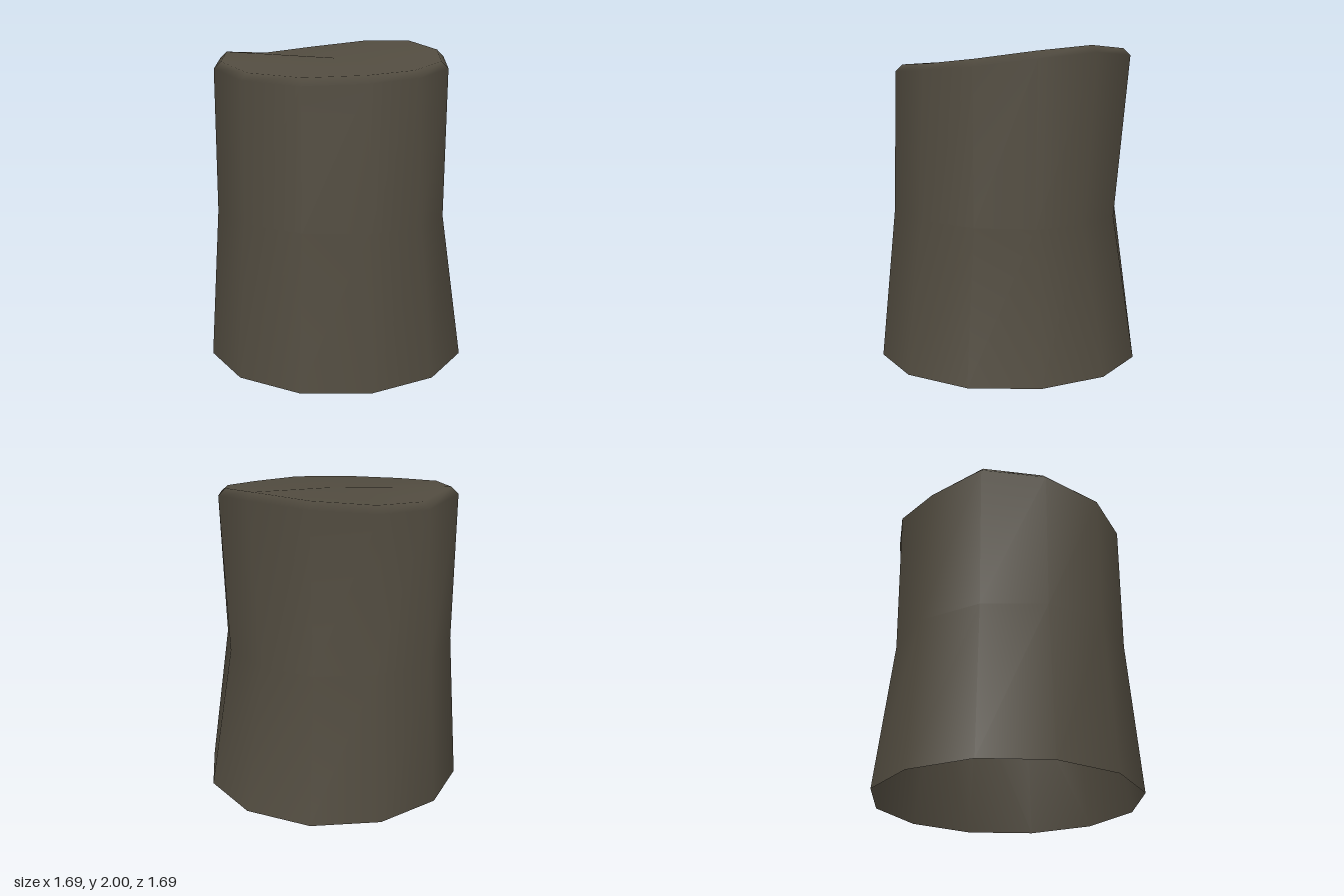
import * as THREE from 'three';

const SIDES = 12;

export function createModel() {
  const group = new THREE.Group();
  group.name = 'stump';
  const bark = new THREE.MeshStandardMaterial({ color: 0x524c40, side: THREE.DoubleSide });
  bark.name = 'dark bark';

  // Radii and heights run from +x towards the front, every 30 degrees
  const midR = [0.67, 0.69, 0.71, 0.73, 0.75, 0.77, 0.78, 0.78, 0.78, 0.78, 0.74, 0.70];
  const topR = [0.76, 0.73, 0.72, 0.70, 0.73, 0.77, 0.78, 0.78, 0.79, 0.73, 0.75, 0.79];
  const rimY = [2.0, 1.965, 1.92, 1.893, 1.885, 1.875, 1.885, 1.92, 1.95, 1.92, 1.945, 1.985];

  // Cross-sections: flared foot, waist, shoulder and bevelled rim
  const rings = [
    () => [0.845, 0],
    (i) => [midR[i], 0.95 - 0.03 * Math.cos((i * Math.PI) / 6)],
    (i) => [topR[i], rimY[i] - 0.043],
    (i) => [topR[i] - 0.045, rimY[i]],
  ];
  const positions = [];
  for (const ring of rings) {
    for (let i = 0; i < SIDES; i++) {
      const [r, y] = ring(i);
      const a = (i / SIDES) * Math.PI * 2;
      positions.push(r * Math.cos(a), y, r * Math.sin(a));
    }
  }
  const centre = positions.length / 3;
  positions.push(0, 1.925, 0);

  // Side walls, then the closed top; the underside stays open
  const index = [];
  for (let i = 0; i < SIDES; i++) {
    const j = (i + 1) % SIDES;
    for (let k = 0; k < rings.length - 1; k++) {
      const lo = k * SIDES, hi = lo + SIDES;
      index.push(lo + i, hi + i, lo + j, lo + j, hi + i, hi + j);
    }
    const rim = (rings.length - 1) * SIDES;
    index.push(rim + i, centre, rim + j);
  }

  const geometry = new THREE.BufferGeometry();
  geometry.setAttribute('position', new THREE.Float32BufferAttribute(positions, 3));
  geometry.setIndex(index);
  geometry.computeVertexNormals();

  const trunk = new THREE.Mesh(geometry, bark);
  trunk.name = 'trunk';
  group.add(trunk);
  return group;
}
